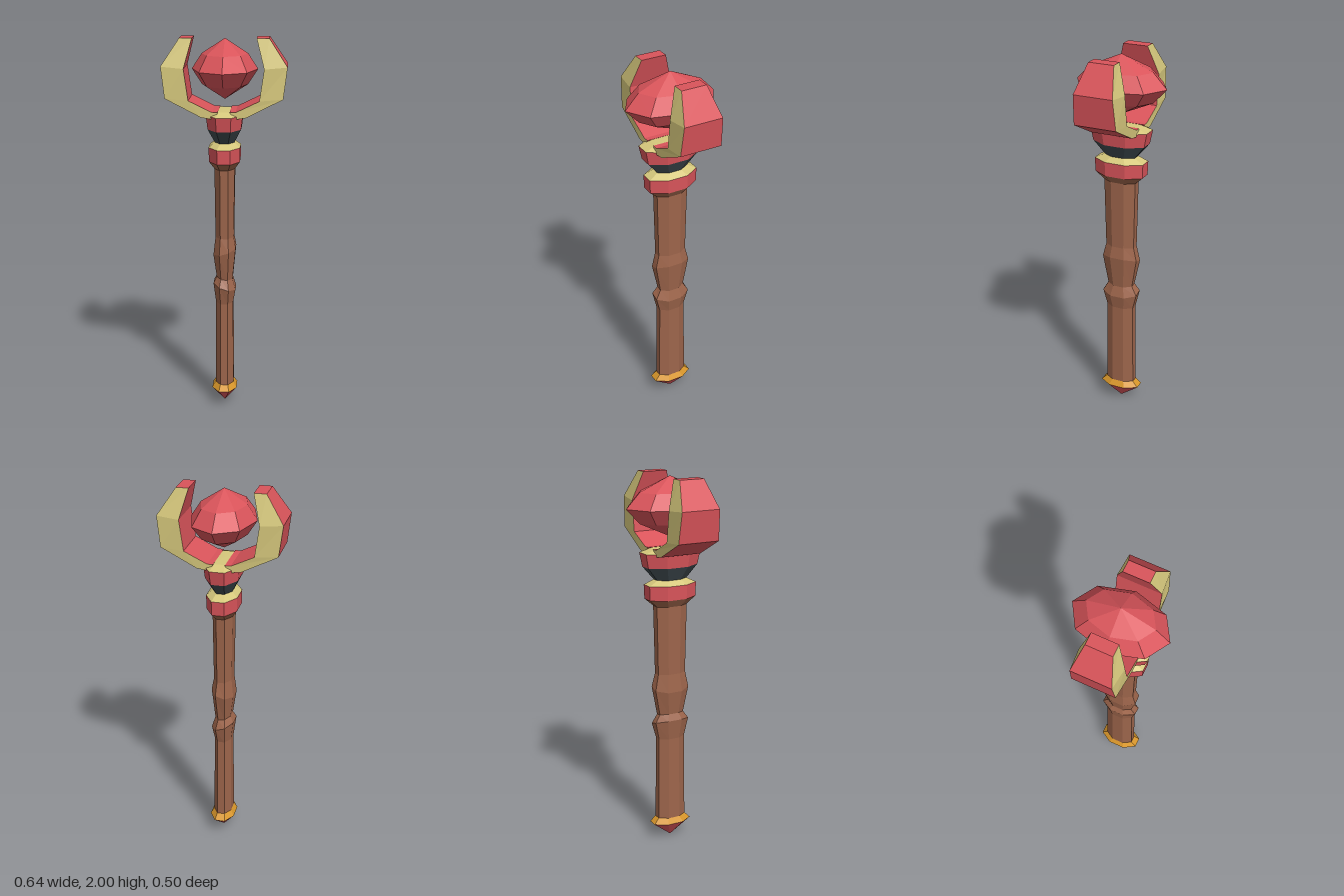
import * as THREE from 'three';

const mat = (name, color) => {
  const m = new THREE.MeshStandardMaterial({ color });
  m.name = name;
  return m;
};

export function createModel() {
  const group = new THREE.Group();
  const red = mat('red', 0xd9545a);
  const wood = mat('wood', 0x9d654b);
  const paleGold = mat('pale gold', 0xd6c87c);
  const amber = mat('amber', 0xd8962a);
  const slate = mat('slate', 0x3d484d);

  const add = (name, geometry, material, parent = group) => {
    const mesh = new THREE.Mesh(geometry, material);
    mesh.name = name;
    parent.add(mesh);
    return mesh;
  };

  // Faceted octagonal solid, narrower in x; rows are [half depth, y, sideways tilt]
  const turned = (rows, ratio, flatFront = true) => {
    const k = flatFront ? 1 / Math.cos(Math.PI / 8) : 1;
    const pts = rows.map(([r, y]) => new THREE.Vector2(r * k, y));
    const lathe = new THREE.LatheGeometry(pts, 8, flatFront ? Math.PI / 8 : 0);
    lathe.scale(ratio, 1, 1);
    const p = lathe.attributes.position;
    for (let i = 0; i < p.count; i++) {
      const tilt = rows[i % rows.length][2] || 0;
      p.setY(i, p.getY(i) + p.getX(i) * tilt);
    }
    const g = lathe.toNonIndexed();
    g.computeVertexNormals();
    return g;
  };

  // Shaft and its stacked fittings, bottom to top
  const shaft = [
    ['pommel', red, [[0, 0.005], [0.11, 0.095]]],
    ['pommelRing', amber, [[0.11, 0.095], [0.08, 0.125]]],
    ['handle', wood, [[0.08, 0.125], [0.076, 0.59], [0.098, 0.68, -0.3], [0.07, 0.725, -0.15],
      [0.098, 0.875, 0.3], [0.08, 0.955], [0.088, 1.325], [0.133, 1.365]]],
    ['lowerCollar', red, [[0.133, 1.365], [0.136, 1.44]]],
    ['goldRing', paleGold, [[0.136, 1.44], [0.085, 1.465]]],
    ['neck', slate, [[0.085, 1.465], [0.143, 1.535]]],
    ['upperCollar', red, [[0.143, 1.535], [0.158, 1.61]]],
    ['collarCap', paleGold, [[0.158, 1.61], [0.1, 1.63], [0, 1.632]]],
  ];
  for (const [name, material, rows] of shaft) add(name, turned(rows, 0.6), material);

  // Floating gem
  add('gem', turned([[0, 1.685], [0.174, 1.762], [0.248, 1.84], [0.174, 1.918], [0, 1.995]], 0.685, false), red);

  // Prong sections: outer x, y, half depth, then inner x, y, half depth
  const sections = [
    [0.05, 1.595, 0.113, 0.03, 1.632, 0.113],
    [0.115, 1.605, 0.113, 0.06, 1.632, 0.113],
    [0.3, 1.7, 0.113, 0.18, 1.69, 0.115],
    [0.32, 1.86, 0.105, 0.203, 1.85, 0.115],
    [0.227, 2, 0.068, 0.163, 2, 0.068],
  ].map(([ox, oy, oz, ix, iy, iz]) => [[ox, oy, oz], [ox, oy, -oz], [ix, iy, -iz], [ix, iy, iz]]);

  const quads = (list) => {
    const g = new THREE.BufferGeometry();
    const pos = list.flatMap(([a, b, c, d]) => [a, b, c, a, c, d]).flat();
    g.setAttribute('position', new THREE.Float32BufferAttribute(pos, 3));
    g.computeVertexNormals();
    return g;
  };
  const strip = (k) => sections.slice(1).map((s, i) => {
    const n = (k + 1) % 4, low = sections[i];
    return [low[k], low[n], s[n], s[k]];
  });
  const tip = sections[sections.length - 1];
  const root = [...sections[0]].reverse();
  const bands = quads([...strip(0), ...strip(2), tip, root]);
  const sides = quads([...strip(1), ...strip(3)]);

  // Matching prongs on both sides of the gem
  ['leftProng', 'rightProng'].forEach((name, i) => {
    const prong = new THREE.Group();
    prong.name = name;
    add('prongBands', bands, red, prong);
    add('prongSides', sides, paleGold, prong);
    prong.rotation.y = i * Math.PI;
    group.add(prong);
  });

  return group;
}
